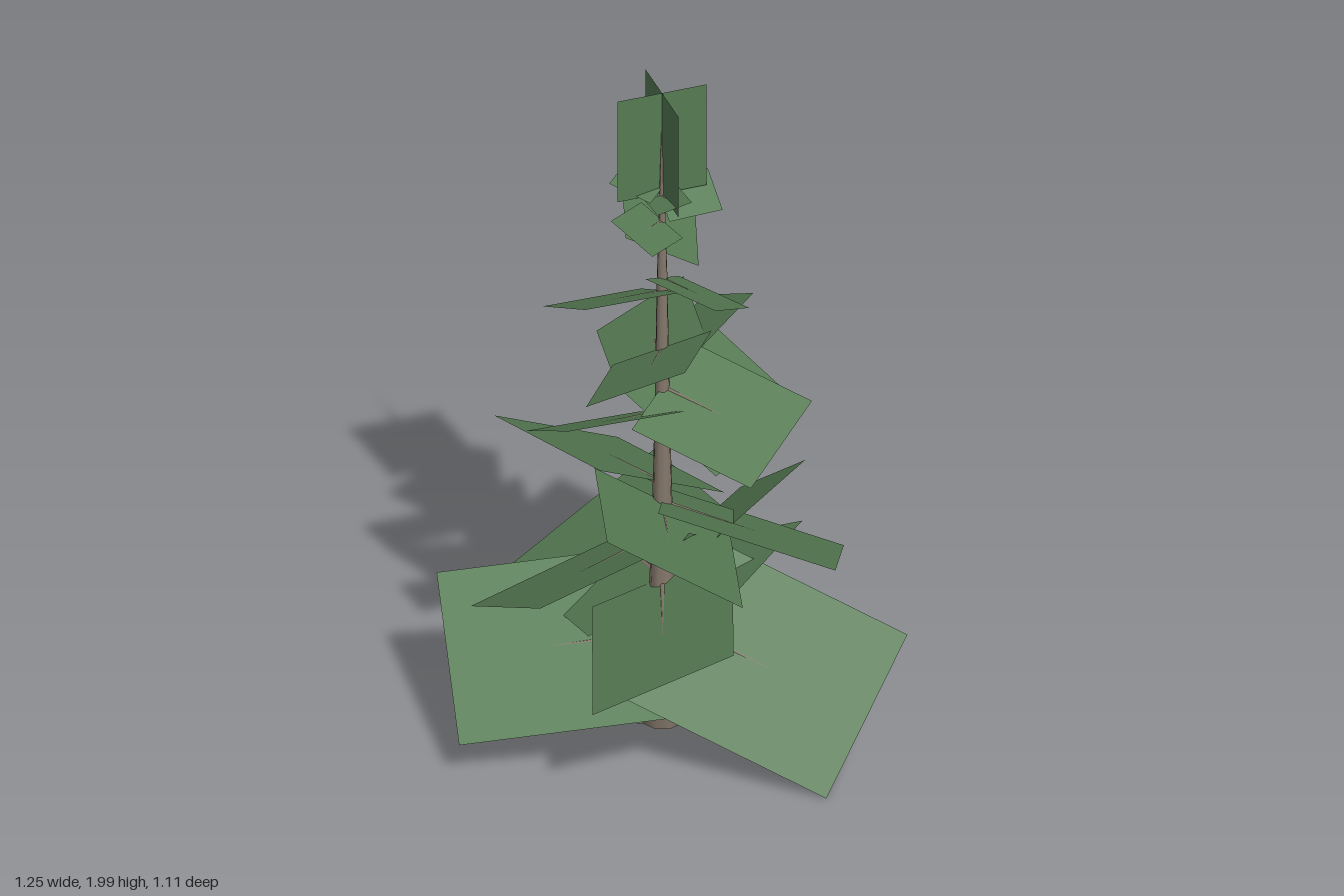
import * as THREE from 'three';

const V = (x, y, z) => new THREE.Vector3(x, y, z);

// Centre of the slightly leaning trunk at a given height
function trunkAt(y) {
  const t = (y - 0.04) / 1.84;
  return V(-0.025 + 0.015 * t, y, 0.045 * (1 - t));
}

// Boughs: height on trunk, azimuth in degrees (+x towards +z), reach, tip height, side-to-side rise
const BOUGHS = [
  // lowest tier
  [0.36, 35, 0.57, 0.13, -0.24],
  [0.31, 196, 0.58, 0.25, 0.27],
  [0.24, 218, 0.50, 0.20, 0.20],
  [0.48, 267, 0.56, 0.375, 0.24],
  [0.38, 312.5, 0.49, 0.333, 0.175],
  [0.48, 110, 0.475, 0.435, -0.20],
  // second tier
  [0.62, 168, 0.50, 0.55, -0.215],
  [0.72, 30, 0.485, 0.59, 0.18],
  [0.50, 334, 0.43, 0.615, 0.25],
  [0.72, 106, 0.465, 0.775, 0.21],
  [0.78, 254, 0.485, 0.71, -0.20],
  [0.95, 323, 0.44, 0.935, -0.19],
  // third tier
  [1.00, 176, 0.34, 1.025, -0.15],
  [1.08, 47, 0.36, 0.995, -0.11],
  [1.15, 279, 0.31, 1.15, 0.145],
  [1.15, 333, 0.265, 1.25, 0.12],
  [1.20, 123, 0.325, 1.265, -0.13],
  // upper tier
  [1.38, 174, 0.295, 1.405, -0.12],
  [1.42, 53, 0.225, 1.395, 0.09],
  [1.50, 288, 0.245, 1.525, -0.10],
  [1.60, 140, 0.165, 1.63, 0.065],
  [1.66, 3, 0.15, 1.67, -0.06],
  [1.70, 232, 0.13, 1.72, 0.04],
  [1.68, 92, 0.11, 1.70, -0.02],
];

export function createModel() {
  const root = new THREE.Group();
  root.name = 'pineTree';
  const bark = new THREE.MeshStandardMaterial({ color: 0x85786b });
  bark.name = 'bark';
  const needles = new THREE.MeshStandardMaterial({ color: 0x567b53, side: THREE.DoubleSide });
  needles.name = 'needles';

  const add = (parent, name, geometry, material) => {
    const m = new THREE.Mesh(geometry, material);
    m.name = name;
    parent.add(m);
  };

  // Trunk: flared at the foot, leaning slightly
  const profile = [[0, 0.04], [0.06, 0.04], [0.04, 0.35], [0.029, 0.65], [0.021, 1.0], [0.015, 1.4], [0.002, 1.88]];
  const trunk = new THREE.LatheGeometry(profile.map(([r, y]) => new THREE.Vector2(r, y)), 9);
  const p = trunk.attributes.position;
  for (let i = 0; i < p.count; i++) {
    const c = trunkAt(p.getY(i));
    p.setXYZ(i, p.getX(i) + c.x, p.getY(i), p.getZ(i) + c.z);
  }
  add(root, 'trunk', trunk, bark);

  // Boughs: a branch and a flat needle card, built along -z and then aimed outward
  BOUGHS.forEach(([y, degrees, reach, tipY, rise], i) => {
    const bough = new THREE.Group();
    bough.name = 'bough' + (i + 1);
    const length = Math.hypot(reach, tipY - y);
    const width = 0.9 * length;

    const card = new THREE.PlaneGeometry(width, length).rotateX(-Math.PI / 2);
    add(bough, 'needleCard', card.translate(0, 0, -length / 2), needles);

    const r = 0.015 - 0.007 * y;
    const branch = new THREE.CylinderGeometry(r * 0.3, r, length * 0.75, 5).rotateX(-Math.PI / 2);
    add(bough, 'branch', branch.translate(0, -r * 0.5, -length * 0.375), bark);

    // Aim by azimuth and slope, then roll about the outward axis
    const a = THREE.MathUtils.degToRad(degrees);
    const out = V(Math.cos(a) * reach, tipY - y, Math.sin(a) * reach).normalize();
    const roll = Math.asin(rise * length / (width * reach));
    const side = V(-Math.sin(a), 0, Math.cos(a)).applyAxisAngle(out, -roll);
    const up = side.clone().cross(out);
    bough.quaternion.setFromRotationMatrix(new THREE.Matrix4().makeBasis(side, up, out.negate()));
    bough.position.copy(trunkAt(y));
    root.add(bough);
  });

  // Crown: two upright crossed cards
  for (const turn of [0, Math.PI / 2]) {
    const g = new THREE.PlaneGeometry(0.255, 0.32).rotateY(turn).translate(-0.01, 1.84, 0);
    add(root, 'crownCard', g, needles);
  }
  return root;
}
